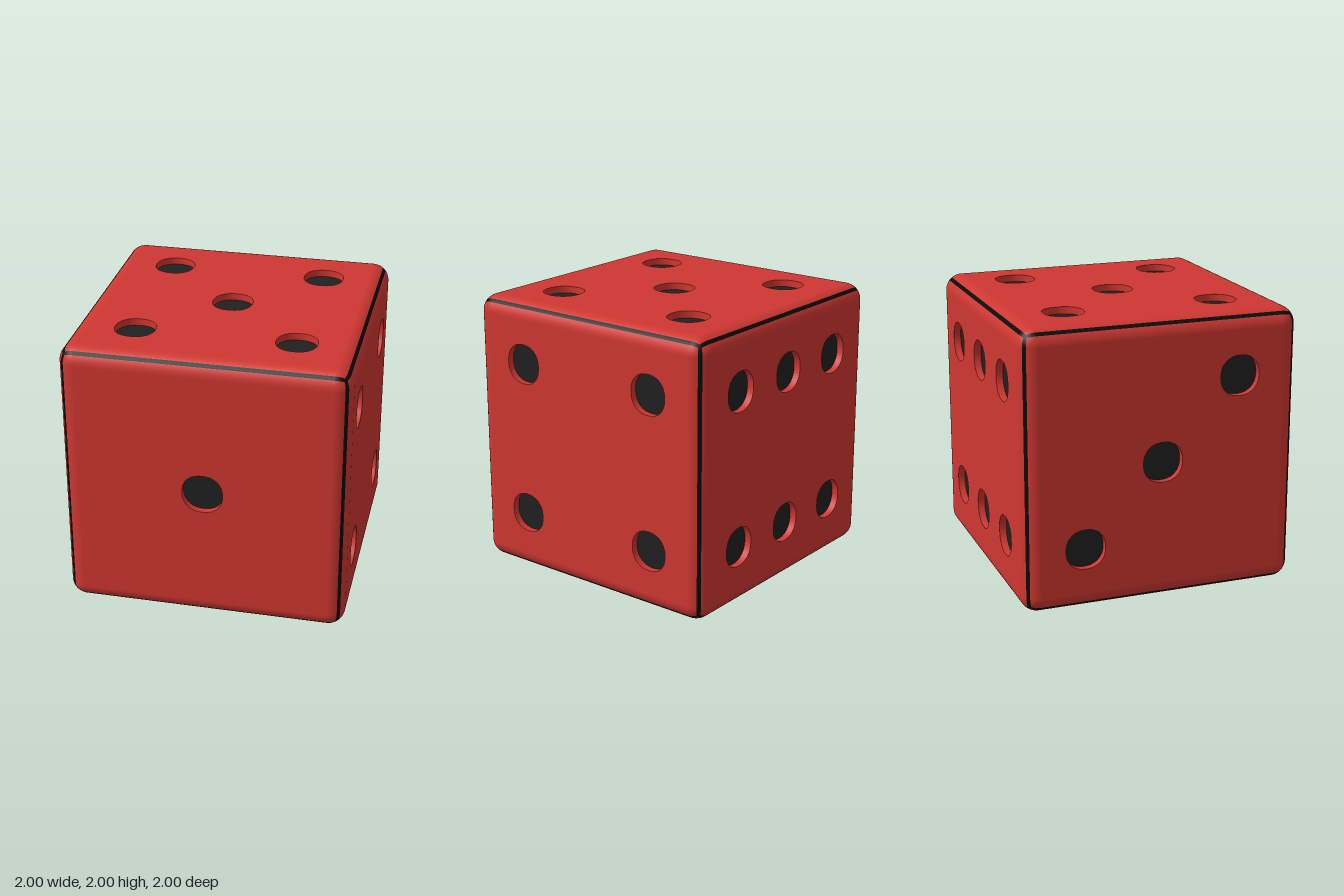
import * as THREE from 'three';

const R = 0.12;          // edge rounding
const FLAT = 1 - R;      // half size of the flat part of a face
const PIP = 0.143, DEPTH = 0.05, SEG = 40;
const O = 0.56;          // pip offset from the face centre

const red = new THREE.MeshStandardMaterial({ color: 0xcf3731 });
const redInside = new THREE.MeshStandardMaterial({ color: 0xcf3731, side: THREE.DoubleSide });
const black = new THREE.MeshStandardMaterial({ color: 0x0a0a0a });
const pipBlack = new THREE.MeshStandardMaterial({ color: 0x202020 });

// Slightly squared circle used for every pip outline
function squircle(angle) {
  const c = Math.cos(angle), s = Math.sin(angle), n = 2.25;
  const k = PIP / Math.pow(Math.abs(c) ** n + Math.abs(s) ** n, 1 / n);
  return new THREE.Vector2(c * k, s * k);
}

// Push the outer vertices of a round geometry (axis along z) onto the pip outline
function squareOff(geometry) {
  const p = geometry.attributes.position;
  for (let i = 0; i < p.count; i++) {
    if (Math.hypot(p.getX(i), p.getY(i)) < 1e-4) continue;
    const v = squircle(Math.atan2(p.getY(i), p.getX(i)));
    p.setXY(i, v.x, v.y);
  }
  return geometry;
}

// Rounded border of a face up to the 45 degree line; the outermost ring is the black seam
function borderGeometry(seam) {
  const half = [0, 8, 16, 24, 31, 38, 45].map(d => Math.tan(d * Math.PI / 180));
  const steps = [...half.map(t => [-FLAT, -t]).reverse(), ...half.map(t => [FLAT, t])];
  const n = steps.length, pos = [], nor = [], index = [];
  for (const [cy, ty] of steps) {
    for (const [cx, tx] of steps) {
      const d = new THREE.Vector3(tx, ty, 1).normalize();
      pos.push(cx + d.x * R, cy + d.y * R, FLAT + d.z * R);
      nor.push(d.x, d.y, d.z);
    }
  }
  const mid = n / 2 - 1;
  for (let j = 0; j < n - 1; j++) {
    for (let i = 0; i < n - 1; i++) {
      if (i === mid && j === mid) continue; // flat centre is the drilled panel
      const outer = i === 0 || j === 0 || i === n - 2 || j === n - 2;
      if (outer !== seam) continue;
      const a = j * n + i, b = a + 1, c = a + n, d = c + 1;
      index.push(a, b, d, a, d, c);
    }
  }
  const g = new THREE.BufferGeometry();
  g.setAttribute('position', new THREE.Float32BufferAttribute(pos, 3));
  g.setAttribute('normal', new THREE.Float32BufferAttribute(nor, 3));
  g.setIndex(index);
  return g;
}

// Flat panel with a hole for each pip
function panelGeometry(pips) {
  const shape = new THREE.Shape();
  shape.moveTo(-FLAT, -FLAT).lineTo(FLAT, -FLAT).lineTo(FLAT, FLAT).lineTo(-FLAT, FLAT).closePath();
  for (const [x, y] of pips) {
    const pts = [];
    for (let i = 0; i < SEG; i++) {
      pts.push(squircle(-i / SEG * Math.PI * 2).add(new THREE.Vector2(x, y)));
    }
    shape.holes.push(new THREE.Path(pts));
  }
  return new THREE.ShapeGeometry(shape).translate(0, 0, 1);
}

export function createModel() {
  const model = new THREE.Group();
  model.name = 'die';

  const borderGeo = borderGeometry(false), seamGeo = borderGeometry(true);
  const wallGeo = squareOff(new THREE.CylinderGeometry(PIP, PIP, DEPTH, SEG, 1, true)
    .rotateX(Math.PI / 2)).translate(0, 0, 1 - DEPTH / 2);
  const floorGeo = squareOff(new THREE.CircleGeometry(PIP, SEG)).translate(0, 0, 1 - DEPTH);

  // Pip layouts in the face's own x, y
  const one = [[0, 0]];
  const two = [[O, O], [-O, -O]];
  const four = [...two, [-O, O], [O, -O]];
  const six = [...four, [0, O], [0, -O]];
  const q = Math.PI / 2;
  const faces = [
    ['frontFace', one, 0, 0],
    ['backFace', six, 0, 2 * q],
    ['leftFace', four, 0, q],
    ['rightFace', [...two, ...one], 0, -q],
    ['topFace', [...four, ...one], -q, 0],
    ['bottomFace', two, q, 0],
  ];

  for (const [name, pips, rx, ry] of faces) {
    const face = new THREE.Group();
    face.name = name;
    const add = (part, geo, mat, x = 0, y = 0) => {
      const mesh = new THREE.Mesh(geo, mat);
      mesh.name = part;
      mesh.position.set(x, y, 0);
      face.add(mesh);
    };
    add('panel', panelGeometry(pips), red);
    add('roundedBorder', borderGeo, red);
    add('edgeSeam', seamGeo, black);
    for (const [x, y] of pips) {
      add('pipWall', wallGeo, redInside, x, y);
      add('pipFloor', floorGeo, pipBlack, x, y);
    }
    face.rotation.set(rx, ry, 0);
    face.position.y = 1;
    model.add(face);
  }
  return model;
}
